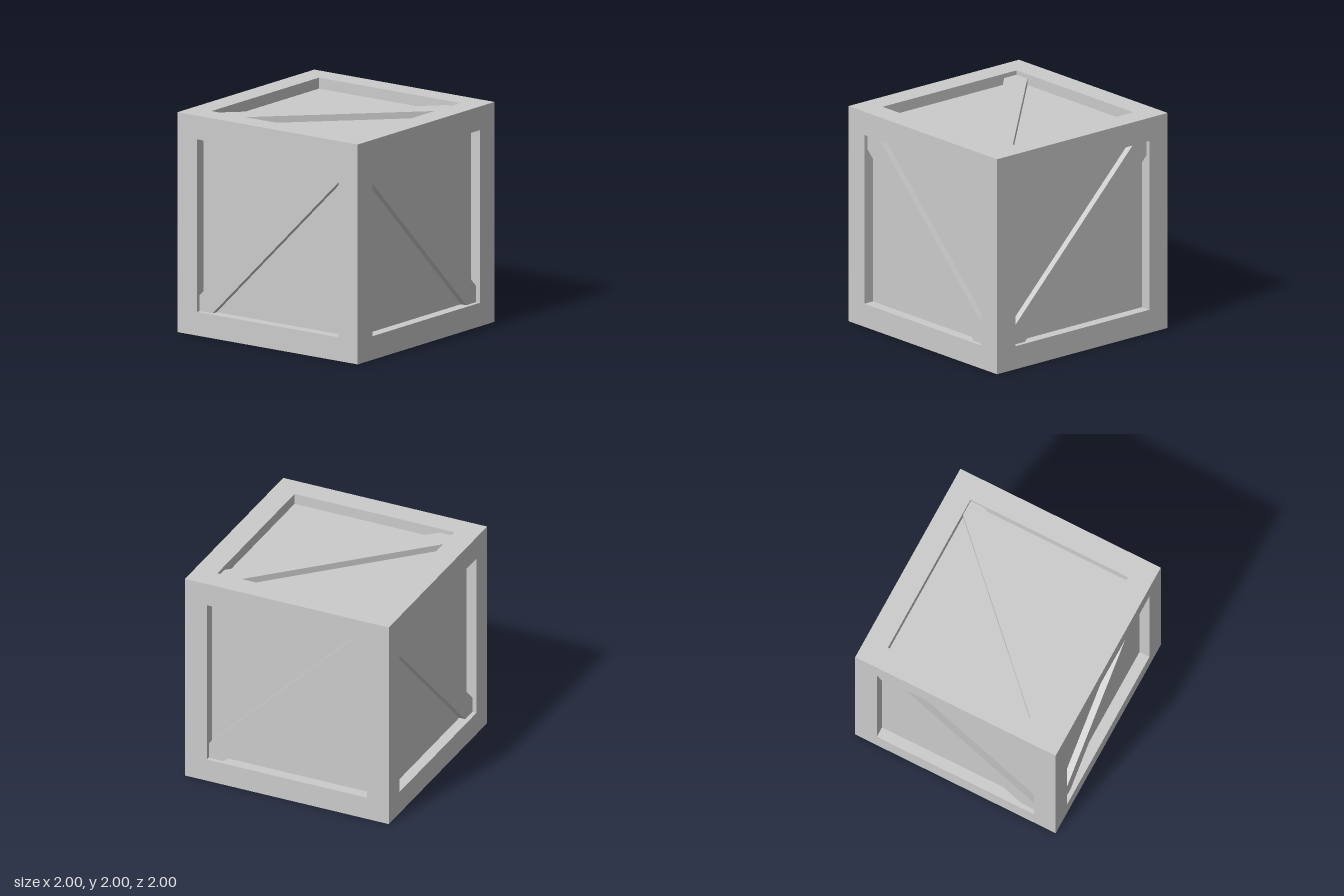
import * as THREE from 'three';

const HALF = 1;          // half the crate's side
const OPEN = 0.785;      // half the opening in each frame
const PANEL = 0.9;       // panel distance from the centre
const BRACE = 0.96;      // brace face distance from the centre
const CUT = 0.145;       // half the brace width along the frame edge

const material = new THREE.MeshStandardMaterial({ color: 0xcccccc, flatShading: true });

function box(name, size, position, parent) {
  const mesh = new THREE.Mesh(new THREE.BoxGeometry(...size), material);
  mesh.name = name;
  mesh.position.set(...position);
  parent.add(mesh);
}

// Diagonal plank whose ends fit into two opposite corners of the opening
function braceGeometry() {
  const a = OPEN, b = OPEN - CUT;
  const shape = new THREE.Shape(
    [[-a, a], [-a, b], [b, -a], [a, -a], [a, -b], [-b, a]].map(([x, y]) => new THREE.Vector2(x, y))
  );
  return new THREE.ExtrudeGeometry(shape, { depth: BRACE - PANEL, bevelEnabled: false });
}

export function createModel() {
  const crate = new THREE.Group();
  crate.name = 'crate';
  const body = new THREE.Group();
  body.name = 'body';
  body.position.y = HALF;
  crate.add(body);

  // Recessed panels on all six sides
  box('panels', [2 * PANEL, 2 * PANEL, 2 * PANEL], [0, 0, 0], body);

  // Twelve frame beams: posts run full height, rails fit between them
  const frame = new THREE.Group();
  frame.name = 'frame';
  body.add(frame);
  const w = HALF - OPEN, m = (HALF + OPEN) / 2;
  for (const s of [-1, 1]) {
    for (const t of [-1, 1]) {
      box('cornerPost', [w, 2 * HALF, w], [s * m, 0, t * m], frame);
      box('crossRail', [2 * OPEN, w, w], [0, s * m, t * m], frame);
      box('sideRail', [w, w, 2 * OPEN], [s * m, t * m, 0], frame);
    }
  }

  // One diagonal brace per side; a quarter turn swaps its diagonal
  const geometry = braceGeometry();
  const q = Math.PI / 2;
  const sides = [
    ['front', 0, 0, 0], ['back', 0, 2 * q, 0],
    ['left', 0, q, q], ['right', 0, -q, q],
    ['top', -q, 0, 0], ['bottom', q, 0, q],
  ];
  for (const [name, rx, ry, turn] of sides) {
    const side = new THREE.Group();
    side.name = name + 'Side';
    side.rotation.set(rx, ry, 0);
    const brace = new THREE.Mesh(geometry, material);
    brace.name = name + 'Brace';
    brace.position.z = PANEL;
    brace.rotation.z = turn;
    side.add(brace);
    body.add(side);
  }
  return crate;
}
